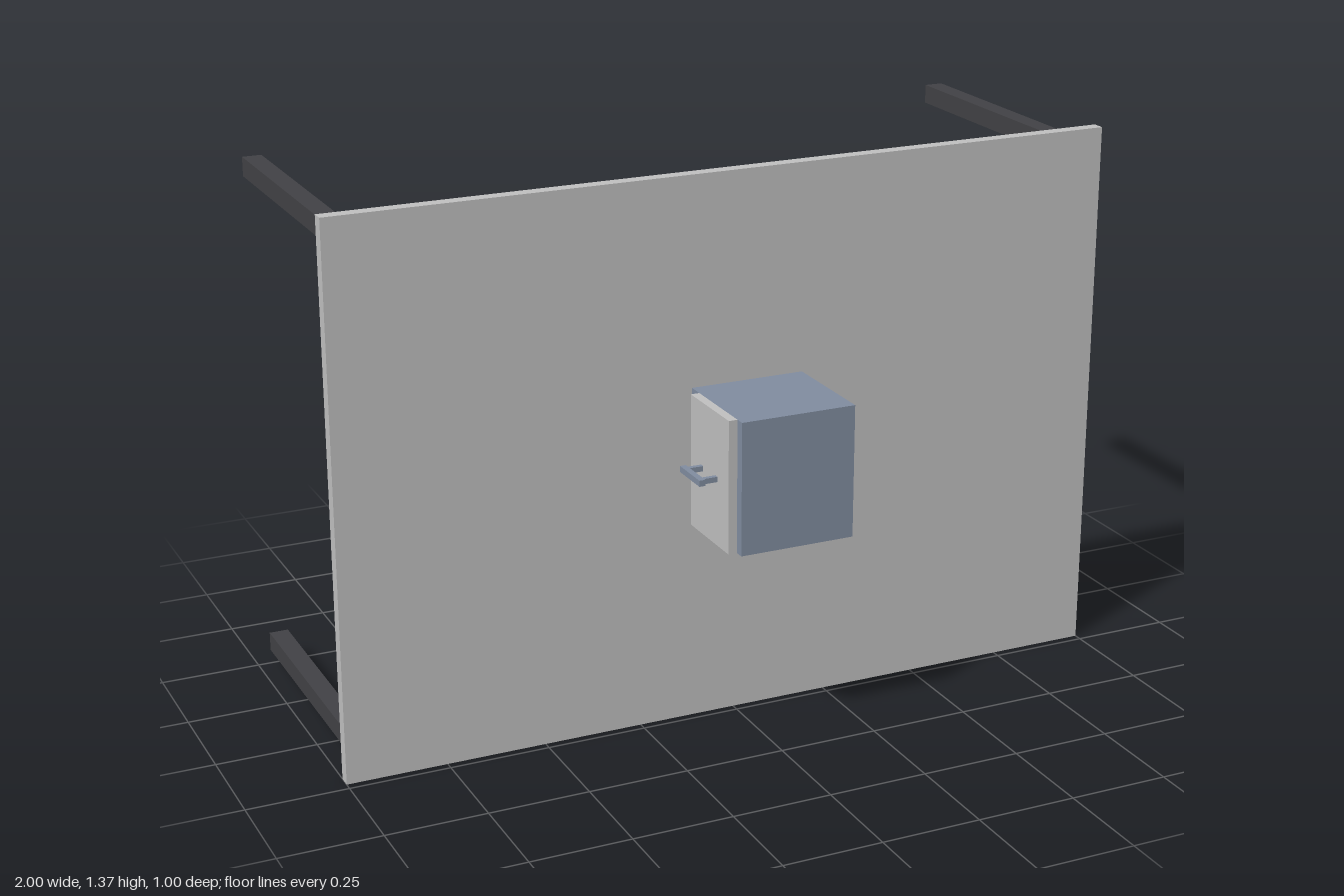
import * as THREE from 'three';

export function createModel() {
  const model = new THREE.Group();
  const material = (name, color) => {
    const m = new THREE.MeshStandardMaterial({ color });
    m.name = name;
    return m;
  };
  const lightGrey = material('light grey', 0xbfbfbf);
  const slateBlue = material('slate blue', 0x808c9f);
  const charcoal = material('charcoal', 0x414145);

  // Box spanning the given ranges on each axis
  const block = (name, mat, [x0, x1], [y0, y1], [z0, z1], parent = model) => {
    const mesh = new THREE.Mesh(new THREE.BoxGeometry(x1 - x0, y1 - y0, z1 - z0), mat);
    mesh.position.set((x0 + x1) / 2, (y0 + y1) / 2, (z0 + z1) / 2);
    mesh.name = name;
    parent.add(mesh);
  };

  // Upright panel
  block('panel', lightGrey, [-1, 1], [0, 1.367], [0.197, 0.229]);

  // Four posts reaching back from the panel corners
  for (const x of [-0.942, 0.942]) {
    for (const y of [0.06, 1.31]) {
      block('post', charcoal, [x - 0.024, x + 0.024], [y - 0.024, y + 0.024], [-0.5, 0.197]);
    }
  }

  // Cabinet passing through the panel
  block('cabinet', slateBlue, [-0.112, 0.179], [0.522, 0.85], [0.083, 0.5]);

  // Door on the cabinet's right side
  block('door', lightGrey, [-0.134, -0.112], [0.522, 0.85], [0.27, 0.476]);

  // Door handle: a grip on two stems
  const handle = new THREE.Group();
  handle.name = 'handle';
  model.add(handle);
  block('grip', slateBlue, [-0.184, -0.169], [0.68, 0.695], [0.318, 0.425], handle);
  for (const z of [0.333, 0.411]) {
    block('stem', slateBlue, [-0.169, -0.134], [0.681, 0.694], [z - 0.006, z + 0.006], handle);
  }
  return model;
}
